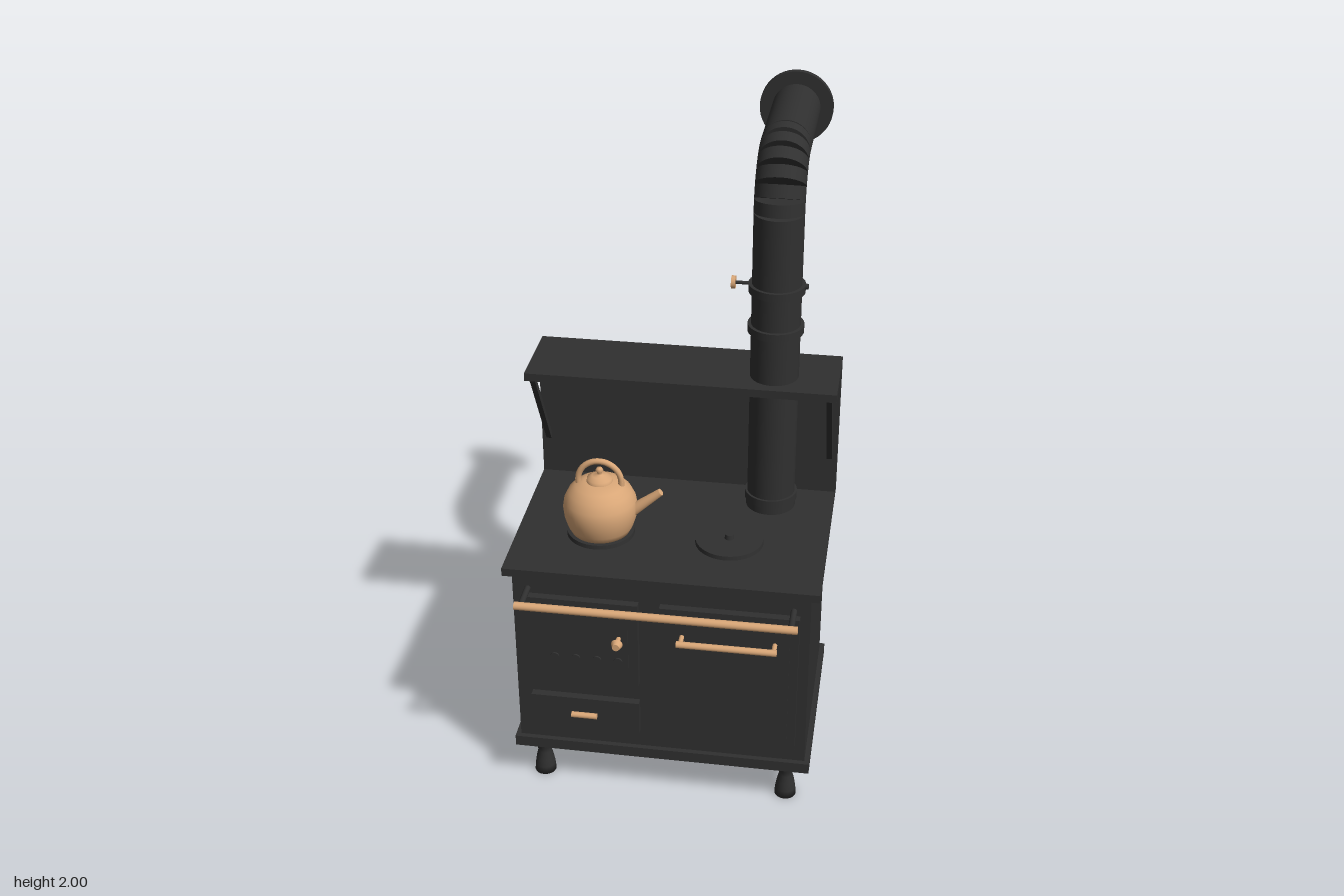
import * as THREE from 'three';

const iron = new THREE.MeshStandardMaterial({ color: 0x303030 });
iron.name = 'cast iron';
const copper = new THREE.MeshStandardMaterial({ color: 0xd8a677 });
copper.name = 'copper';

export function createModel() {
  const root = new THREE.Group();
  root.name = 'stove';

  const add = (name, geometry, material, parent = root) => {
    const mesh = new THREE.Mesh(geometry, material);
    mesh.name = name;
    parent.add(mesh);
    return mesh;
  };
  // box given by its limits on each axis
  const box = (name, x0, x1, y0, y1, z0, z1, material = iron) => {
    const m = add(name, new THREE.BoxGeometry(x1 - x0, y1 - y0, z1 - z0), material);
    m.position.set((x0 + x1) / 2, (y0 + y1) / 2, (z0 + z1) / 2);
    return m;
  };
  // round rod between two points, with a radius at each end
  const rod = (name, a, b, r0, material = iron, r1 = r0, sides = 32) => {
    const p = new THREE.Vector3(...a), q = new THREE.Vector3(...b);
    const d = q.clone().sub(p);
    const m = add(name, new THREE.CylinderGeometry(r1, r0, d.length(), sides), material);
    m.position.copy(p).add(q).multiplyScalar(0.5);
    m.quaternion.setFromUnitVectors(new THREE.Vector3(0, 1, 0), d.normalize());
    return m;
  };
  const lathe = (name, points, material, x, y, z, sides = 32) => {
    const m = add(name, new THREE.LatheGeometry(points.map(p => new THREE.Vector2(...p)), sides), material);
    m.position.set(x, y, z);
    return m;
  };

  // Carcass
  box('basePlate', -0.45, 0.45, 0.14, 0.175, -0.162, 0.447);
  box('body', -0.435, 0.435, 0.175, 0.77, -0.147, 0.432);
  box('cooktop', -0.46, 0.46, 0.77, 0.795, -0.112, 0.452);
  box('backboard', -0.46, 0.46, 0.77, 1.21, -0.172, -0.112);
  box('shelf', -0.46, 0.46, 1.21, 1.235, -0.172, 0.078);

  // Legs and shelf braces
  const legProfile = [[0, 0], [0.033, 0], [0.031, 0.025], [0.027, 0.05], [0.021, 0.075],
    [0.022, 0.09], [0.029, 0.115], [0.035, 0.128], [0.035, 0.14], [0, 0.14]];
  for (const x of [-0.377, 0.377]) {
    for (const z of [0.378, -0.092]) lathe('leg', legProfile, iron, x, 0, z, 20);
    const brace = add('shelfBrace', new THREE.BoxGeometry(0.016, 0.338, 0.016), iron);
    brace.position.set(Math.sign(x) * 0.438, 1.064, -0.026);
    brace.rotation.x = Math.atan2(0.172, 0.288);
  }

  // Doors and drawer, each with a raised panel
  box('fireDoor', -0.39, -0.063, 0.415, 0.705, 0.432, 0.455);
  box('firePanel', -0.36, -0.092, 0.438, 0.675, 0.455, 0.459);
  box('ovenDoor', 0, 0.405, 0.235, 0.705, 0.432, 0.455);
  box('ovenPanel', 0.026, 0.38, 0.265, 0.68, 0.455, 0.459);
  box('ashDrawer', -0.39, -0.063, 0.235, 0.35, 0.432, 0.455);
  for (let i = 0; i < 4; i++) {
    const x = -0.311 + i * 0.063;
    rod('airVent', [x, 0.505, 0.455], [x, 0.505, 0.464], 0.013, iron, 0.013, 20);
  }

  // Door knob and handles
  rod('doorKnobStem', [-0.119, 0.588, 0.455], [-0.119, 0.588, 0.49], 0.007, copper);
  rod('doorKnob', [-0.119, 0.588, 0.487], [-0.119, 0.588, 0.505], 0.017, copper, 0.011);
  rod('ovenHandle', [0.056, 0.615, 0.497], [0.346, 0.615, 0.497], 0.01, copper);
  for (const x of [0.067, 0.337]) rod('ovenHandleMount', [x, 0.615, 0.455], [x, 0.615, 0.497], 0.007, copper);
  rod('drawerHandle', [-0.267, 0.294, 0.463], [-0.19, 0.294, 0.463], 0.009, copper);
  rod('towelRail', [-0.408, 0.721, 0.524], [0.405, 0.721, 0.524], 0.012, copper);
  for (const x of [-0.39, 0.386]) rod('railMount', [x, 0.721, 0.43], [x, 0.721, 0.522], 0.009);

  // Hob lids
  for (const x of [-0.213, 0.172]) {
    rod('hobLid', [x, 0.795, 0.214], [x, 0.808, 0.214], 0.101, iron, 0.1, 48);
    rod('hobLidKnob', [x, 0.808, 0.214], [x, 0.822, 0.214], 0.014, iron, 0.012);
  }

  // Kettle
  const kx = -0.213, kz = 0.214;
  lathe('kettleBody', [[0, 0], [0.088, 0], [0.098, 0.02], [0.107, 0.05], [0.11, 0.08], [0.106, 0.105],
    [0.093, 0.132], [0.072, 0.152], [0.045, 0.163], [0, 0.165]], copper, kx, 0.808, kz, 48);
  lathe('kettleLid', [[0.039, 0], [0.037, 0.014], [0.022, 0.022], [0.008, 0.025], [0.007, 0.032],
    [0.012, 0.038], [0.008, 0.046], [0, 0.048]], copper, kx, 0.968, kz);
  const handle = add('kettleHandle', new THREE.TorusGeometry(0.064, 0.009, 12, 32, Math.PI), copper);
  handle.position.set(kx, 0.972, kz);
  for (const s of [-1, 1]) rod('kettleHandleEnd', [kx + s * 0.064, 0.94, kz], [kx + s * 0.064, 0.974, kz], 0.009, copper);
  rod('kettleSpout', [-0.135, 0.863, kz], [-0.032, 0.948, kz], 0.02, copper, 0.011);

  // Flue: upright, segmented elbow, horizontal run
  const fx = 0.269, fz = -0.024, r = 0.072, bend = 0.145, elbowY = 1.745;
  rod('flueUpright', [fx, 0.795, fz], [fx, elbowY, fz], r, iron, r, 40);
  const count = 6, half = 0.019;
  for (let i = 0; i < count; i++) {
    const a = (i + 0.5) / count * Math.PI / 2;
    const y = elbowY + bend * Math.sin(a), z = fz - bend * (1 - Math.cos(a));
    const dy = Math.cos(a) * half, dz = -Math.sin(a) * half;
    rod('elbowSegment', [fx, y - dy, z - dz], [fx, y + dy, z + dz], r, iron, r, 40);
  }
  const topY = elbowY + bend;
  rod('flueRun', [fx, topY, fz - bend], [fx, topY, -0.536], r, iron, r, 40);
  rod('wallFlange', [fx, topY, -0.492], [fx, topY, -0.512], 0.11, iron, 0.11, 48);
  for (const [y, h, cr] of [[0.795, 0.025, 0.075], [0.82, 0.025, 0.079], [1.38, 0.024, 0.082], [1.506, 0.024, 0.082]])
    rod('flueCollar', [fx, y, fz], [fx, y + h, fz], cr, iron, cr, 40);

  // Damper
  rod('damperRod', [0.148, 1.524, fz], [0.354, 1.524, fz], 0.005);
  rod('damperStop', [0.35, 1.524, fz], [0.359, 1.524, fz], 0.008);
  rod('damperKnob', [0.138, 1.524, fz], [0.15, 1.524, fz], 0.019, copper);

  return root;
}
